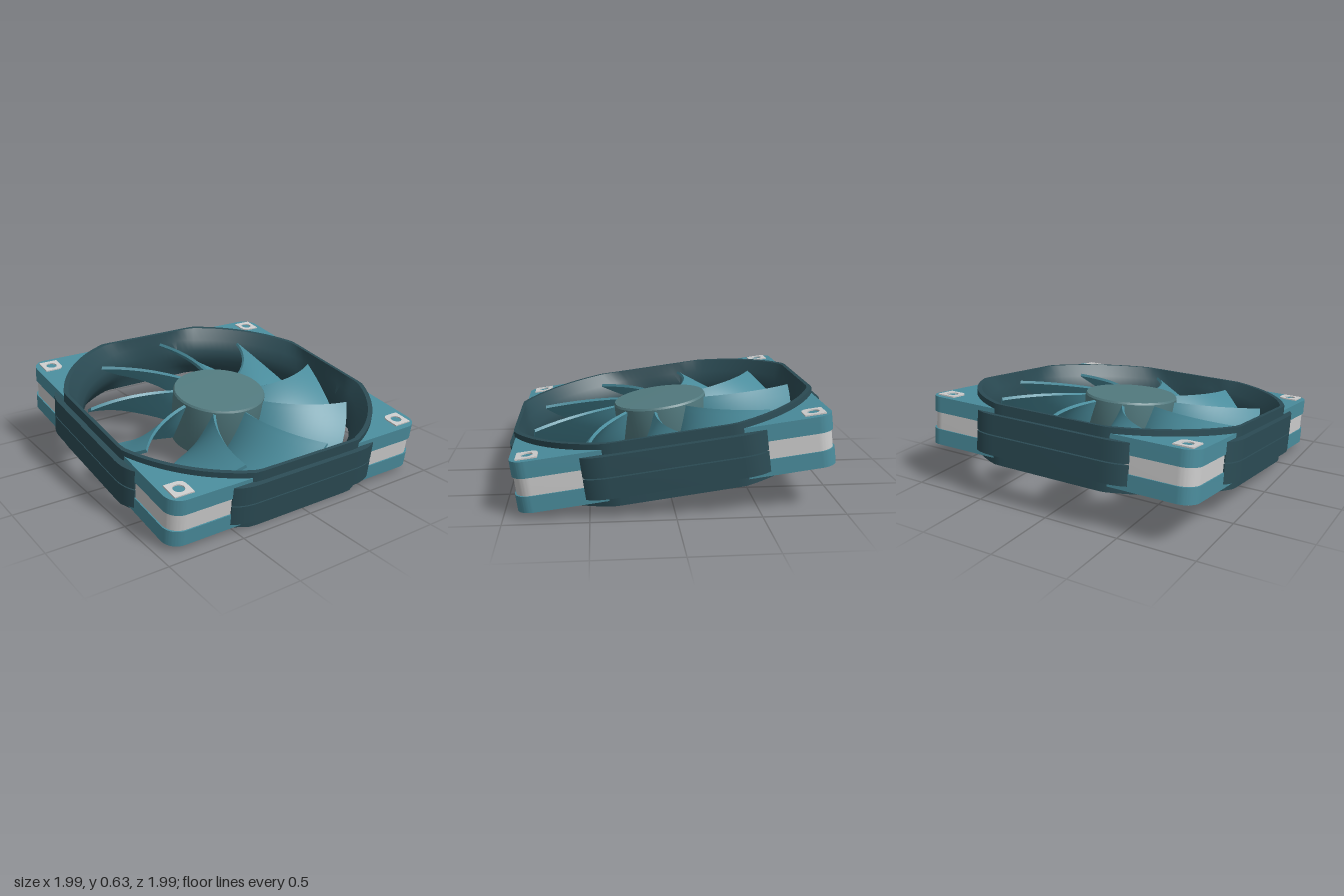
import * as THREE from 'three';
import { toCreasedNormals } from 'three/addons/utils/BufferGeometryUtils.js';

const mat = (color) => new THREE.MeshStandardMaterial({ color });
const teal = mat(0x4a8c9c), dark = mat(0x2b4b54), hubColor = mat(0x527a7f), grey = mat(0xcccccc);

const part = (name, geometry, material, parent) => {
  const mesh = new THREE.Mesh(geometry, material);
  mesh.name = name;
  parent.add(mesh);
  return mesh;
};

// Radius of a circle clipped by a square, at a given angle
const clipped = (a, R, half) => Math.min(R, half / Math.max(Math.abs(Math.cos(a)), Math.abs(Math.sin(a))));

// Extrude a plan outline (x, z) upwards from y0 to y1
function slab(shape, y0, y1) {
  const g = new THREE.ExtrudeGeometry(shape, { depth: y1 - y0, bevelEnabled: false, curveSegments: 10 });
  g.rotateX(-Math.PI / 2).translate(0, y0, 0);
  return toCreasedNormals(g, 0.5);
}

// Square plate with rounded corners and the duct opening cut out
function plate(half, r, y0, y1) {
  const s = new THREE.Shape();
  const c = half - r;
  s.absarc(c, c, r, 0, Math.PI / 2);
  s.absarc(-c, c, r, Math.PI / 2, Math.PI);
  s.absarc(-c, -c, r, Math.PI, Math.PI * 1.5);
  s.absarc(c, -c, r, Math.PI * 1.5, Math.PI * 2);
  const pts = [];
  for (let i = 0; i < 128; i++) {
    const a = -i / 128 * Math.PI * 2, d = clipped(a, 1.0, 0.932);
    pts.push(new THREE.Vector2(Math.cos(a) * d, Math.sin(a) * d));
  }
  s.holes.push(new THREE.Path(pts));
  return slab(s, y0, y1);
}

// Duct ring: closed loop of sections [y, circle radius, half width]
function ductGeometry() {
  const h = 0.19;
  const sections = [
    [-h, 1.03, 0.955], [h, 1.03, 0.955], [h, 1.0, 0.932], [0.11, 0.945, 0.918], [0.04, 0.908, 0.908],
    [-0.04, 0.908, 0.908], [-0.11, 0.945, 0.918], [-h, 1.0, 0.932],
  ];
  const n = 128, m = sections.length, pos = [], idx = [];
  for (let i = 0; i < n; i++) {
    const a = i / n * Math.PI * 2;
    for (const [y, R, half] of sections) {
      const d = clipped(a, R, half);
      pos.push(Math.cos(a) * d, y, Math.sin(a) * d);
    }
  }
  for (let i = 0; i < n; i++) for (let j = 0; j < m; j++) {
    const i2 = (i + 1) % n, j2 = (j + 1) % m;
    const a = i * m + j, b = i * m + j2, c = i2 * m + j2, d = i2 * m + j;
    idx.push(a, b, c, a, c, d);
  }
  const g = new THREE.BufferGeometry();
  g.setAttribute('position', new THREE.Float32BufferAttribute(pos, 3));
  g.setIndex(idx);
  return toCreasedNormals(g, 0.5);
}

// Swept blade: a box bent along the radius, pitched from high leading to low trailing edge
function bladeGeometry() {
  const g = new THREE.BoxGeometry(1, 1, 1, 14, 1, 14), p = g.attributes.position;
  const root = 0.28, tip = 0.875, thickness = 0.02;
  for (let i = 0; i < p.count; i++) {
    const v = p.getX(i) + 0.5, s = p.getZ(i) + 0.5, t = p.getY(i) * thickness;
    const r = root + (tip - root) * v;
    const start = THREE.MathUtils.degToRad(10 - 13.5 * v - 3 * v * v);
    const end = THREE.MathUtils.degToRad(35 + v - 9 * v * v);
    const chord = (end - start) * r, drop = 0.31 - 0.04 * v, len = Math.hypot(chord, drop);
    const a = start + (end - start) * s + (t * drop / len) / r;
    const y = drop * (0.5 - s) - 0.02 * Math.sin(Math.PI * s) + t * chord / len;
    p.setXYZ(i, Math.cos(a) * r, y, Math.sin(a) * r);
  }
  return toCreasedNormals(g, 0.6);
}

// Side bumper with tapered ends, running along x at the +z side
function bumperShape(out) {
  const s = new THREE.Shape();
  s.moveTo(-0.54, -0.925);
  s.lineTo(-0.54, -0.945);
  s.quadraticCurveTo(-0.48, -out, -0.38, -out);
  s.lineTo(0.38, -out);
  s.quadraticCurveTo(0.48, -out, 0.54, -0.945);
  s.lineTo(0.54, -0.925);
  s.closePath();
  return s;
}

// Screw pad: square with one rounded inner corner and a screw hole
function padShape() {
  const s = new THREE.Shape(), w = 0.064;
  s.moveTo(w, w);
  s.lineTo(-w, w);
  s.lineTo(-w, -w + 0.05);
  s.quadraticCurveTo(-w, -w, -w + 0.05, -w);
  s.lineTo(w, -w);
  s.closePath();
  s.holes.push(new THREE.Path().absarc(0, 0, 0.036, 0, Math.PI * 2, true));
  return s;
}

export function createModel() {
  const model = new THREE.Group();
  model.name = 'coolingFan';
  const fan = new THREE.Group();
  fan.name = 'tiltedFan';
  fan.rotation.x = 0.132;
  fan.position.y = 0.314;
  model.add(fan);

  // Frame
  part('ductRing', ductGeometry(), dark, fan);
  part('upperPlate', plate(0.945, 0.1, 0.055, 0.155), teal, fan);
  part('lowerPlate', plate(0.945, 0.1, -0.155, -0.055), teal, fan);
  part('middlePlate', plate(0.937, 0.1, -0.055, 0.055), grey, fan);

  // Bumpers: two halves on each side with a fine seam between
  for (let k = 0; k < 4; k++) {
    const side = new THREE.Group();
    side.name = 'sideBumper';
    side.rotation.y = k * Math.PI / 2;
    fan.add(side);
    const out = k % 2 ? 0.993 : 0.986;
    part('bumperUpperHalf', slab(bumperShape(out), 0.004, 0.127), dark, side);
    part('bumperLowerHalf', slab(bumperShape(out), -0.127, -0.004), dark, side);
  }

  // Screw pads on both faces of each corner
  const pad = slab(padShape(), 0, 0.01);
  for (let k = 0; k < 4; k++) {
    const corner = new THREE.Group();
    corner.name = 'cornerPads';
    corner.rotation.y = k * Math.PI / 2;
    fan.add(corner);
    for (const y of [0.153, -0.163]) part('screwPad', pad, grey, corner).position.set(0.84, y, -0.84);
  }

  // Hub
  const hub = [[0, -0.175], [0.305, -0.175], [0.31, -0.165], [0.31, 0.165], [0.302, 0.178], [0, 0.18]];
  const hubGeo = new THREE.LatheGeometry(hub.map(([x, y]) => new THREE.Vector2(x, y)), 64);
  part('hub', toCreasedNormals(hubGeo, 0.5), hubColor, fan);
  const base = part('hubBase', new THREE.CylinderGeometry(0.3, 0.3, 0.006, 64), dark, fan);
  base.position.y = -0.176;

  // Blades
  const blade = bladeGeometry();
  for (let k = 0; k < 9; k++) part('blade', blade, teal, fan).rotation.y = k * Math.PI * 2 / 9;
  return model;
}
